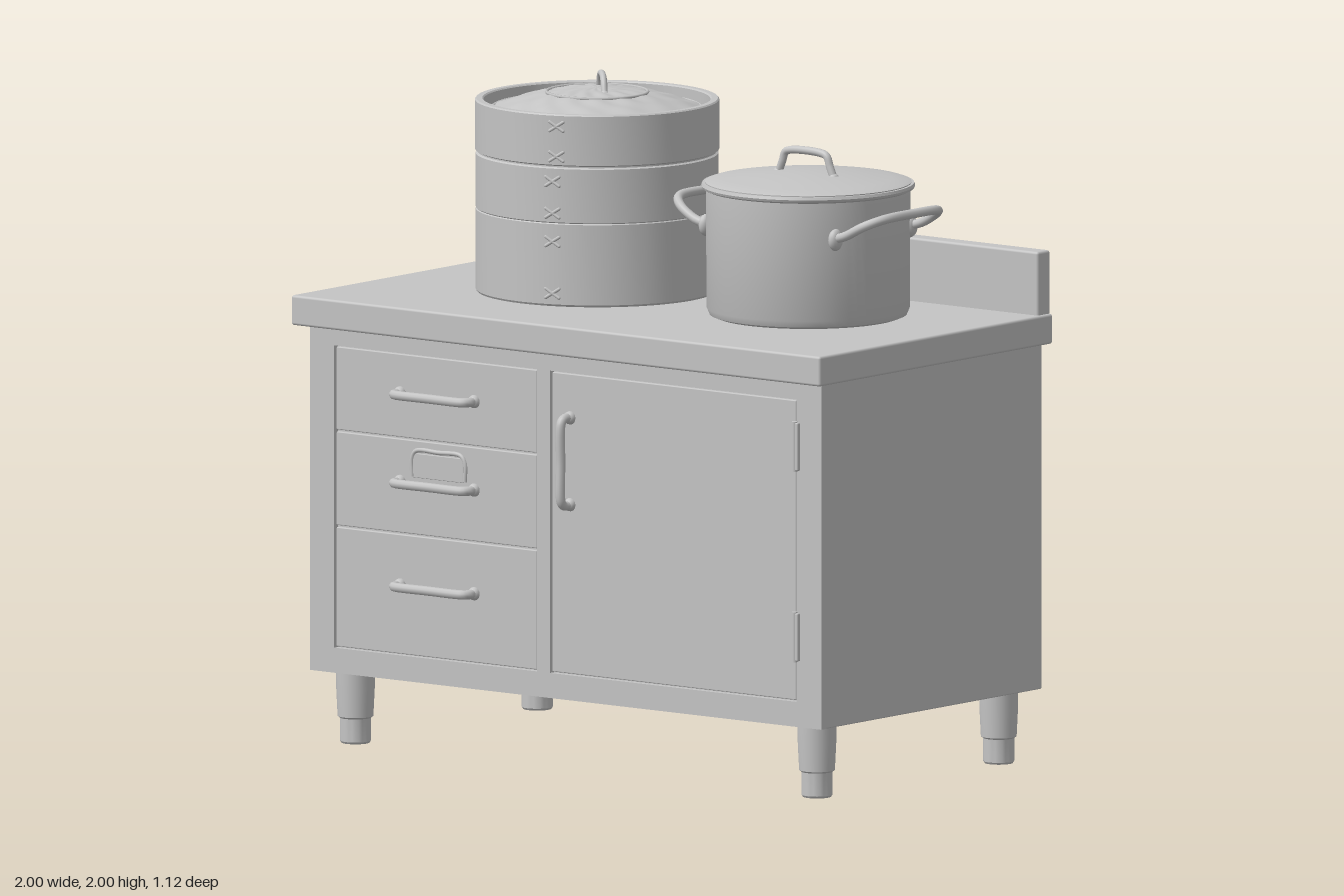
import * as THREE from 'three';
import { toCreasedNormals } from 'three/addons/utils/BufferGeometryUtils.js';
import { RoundedBoxGeometry } from 'three/addons/geometries/RoundedBoxGeometry.js';

const steel = new THREE.MeshStandardMaterial({ color: 0xc4c4c4 });
steel.name = 'steelGrey';

const V = (x, y, z) => new THREE.Vector3(x, y, z);

function add(parent, name, geometry, x = 0, y = 0, z = 0) {
  const mesh = new THREE.Mesh(geometry, steel);
  mesh.name = name;
  mesh.position.set(x, y, z);
  parent.add(mesh);
  return mesh;
}

function group(parent, name, x = 0, y = 0, z = 0) {
  const g = new THREE.Group();
  g.name = name;
  g.position.set(x, y, z);
  parent.add(g);
  return g;
}

// Box given by its extents on each axis
function block(parent, name, [x0, x1], [y0, y1], [z0, z1], r = 0.004) {
  const geo = new RoundedBoxGeometry(x1 - x0, y1 - y0, z1 - z0, 2, r);
  return add(parent, name, geo, (x0 + x1) / 2, (y0 + y1) / 2, (z0 + z1) / 2);
}

// Turned part from a list of [radius, height], listed from the outside bottom upwards
function turned(parent, name, profile, segments = 64) {
  const geo = new THREE.LatheGeometry(profile.map(([r, y]) => new THREE.Vector2(r, y)), segments);
  return add(parent, name, toCreasedNormals(geo, 0.5), 0, 0, 0);
}

// Bent rod through points, with a small boss at each end
function rod(parent, name, points, radius, boss = 0) {
  const path = new THREE.CatmullRomCurve3(points, false, 'centripetal');
  add(parent, name, new THREE.TubeGeometry(path, 48, radius, 10));
  if (boss) {
    for (const p of [points[0], points[points.length - 1]]) {
      add(parent, name + 'Boss', new THREE.SphereGeometry(boss, 14, 10), p.x, p.y, p.z);
    }
  }
}

// Straight pull handle standing off the front, along x
function pull(parent, name, x, y, length, vertical) {
  const g = group(parent, name, x, y, 0.5);
  const h = length / 2;
  rod(g, 'grip', [V(-h, 0, 0), V(-h, 0, 0.03), V(-h + 0.012, 0, 0.043),
    V(0, 0, 0.045), V(h - 0.012, 0, 0.043), V(h, 0, 0.03), V(h, 0, 0)], 0.014, 0.02);
  if (vertical) g.rotation.z = Math.PI / 2;
}

function rectPath(Type, x0, x1, y0, y1) {
  const p = new Type();
  p.moveTo(x0, y0);
  p.lineTo(x1, y0);
  p.lineTo(x1, y1);
  p.lineTo(x0, y1);
  p.closePath();
  return p;
}

function buildCabinet(root) {
  const cabinet = group(root, 'cabinet');
  block(cabinet, 'carcass', [-0.968, 0.966], [0.22, 1.26], [-0.545, 0.486]);
  block(cabinet, 'countertop', [-1, 1], [1.255, 1.345], [-0.555, 0.555], 0.008);
  block(cabinet, 'backsplash', [-0.99, 0.99], [1.3, 1.535], [-0.555, -0.495], 0.008);

  // Front frame with openings for the drawers and the door
  const frame = rectPath(THREE.Shape, -0.968, 0.966, 0.22, 1.26);
  frame.holes.push(rectPath(THREE.Path, -0.876, -0.11, 0.295, 1.2));
  frame.holes.push(rectPath(THREE.Path, -0.06, 0.872, 0.295, 1.2));
  add(cabinet, 'frontFrame', new THREE.ExtrudeGeometry(frame, { depth: 0.023, bevelEnabled: false }), 0, 0, 0.482);

  // Drawers, top to bottom: bottom edge, top edge, handle height
  const drawers = [[0.948, 1.196, 1.08], [0.662, 0.942, 0.815], [0.299, 0.656, 0.505]];
  for (const [y0, y1, handle] of drawers) {
    block(cabinet, 'drawerFront', [-0.872, -0.114], [y0, y1], [0.47, 0.5], 0.003);
    pull(cabinet, 'drawerHandle', -0.49, handle, 0.28, false);
  }

  // Label holder on the middle drawer
  const w = 0.1, h = 0.042;
  rod(cabinet, 'labelHolderRim', [V(-0.485 - w, 0.835, 0.5), V(-0.485 - w, 0.89, 0.5), V(-0.485 - w + 0.015, 0.87 + h, 0.5),
    V(-0.485, 0.872 + h, 0.5), V(-0.485 + w - 0.015, 0.87 + h, 0.5), V(-0.485 + w, 0.89, 0.5), V(-0.485 + w, 0.835, 0.5)], 0.007);
  block(cabinet, 'labelPlate', [-0.58, -0.39], [0.832, 0.905], [0.496, 0.503], 0.002);

  block(cabinet, 'door', [-0.056, 0.866], [0.299, 1.196], [0.47, 0.5], 0.003);
  pull(cabinet, 'doorHandle', 0.012, 0.935, 0.26, true);
  for (const y of [0.49, 1.06]) {
    block(cabinet, 'hingePlate', [0.862, 0.886], [y - 0.072, y + 0.072], [0.49, 0.518], 0.004);
    add(cabinet, 'hingePin', new THREE.CylinderGeometry(0.009, 0.009, 0.15, 12), 0.87, y, 0.512);
  }

  // Legs: a sleeve with a narrower adjustable foot
  for (const x of [-0.875, 0.87]) {
    for (const z of [0.405, -0.46]) {
      const leg = group(cabinet, 'leg', x, 0, z);
      turned(leg, 'legTube', [[0, 0], [0.042, 0], [0.046, 0.006], [0.046, 0.075],
        [0.053, 0.08], [0.057, 0.16], [0.058, 0.225]], 28);
    }
  }
}

function buildSteamer(root) {
  const steamer = group(root, 'steamer', -0.353, 0, -0.088);
  // Stacked bands with a fine groove between them
  turned(steamer, 'lowerBasket', [[0, 1.346], [0.356, 1.346], [0.36, 1.352], [0.36, 1.592], [0.357, 1.595], [0.357, 1.6]]);
  turned(steamer, 'middleBasket', [[0.357, 1.595], [0.36, 1.598], [0.36, 1.758], [0.354, 1.762], [0.354, 1.77]]);
  turned(steamer, 'lidBand', [[0.354, 1.766], [0.362, 1.77], [0.362, 1.917], [0.358, 1.921], [0.34, 1.921], [0.336, 1.917], [0.336, 1.87]]);

  // Woven dome, gently rippled
  const dome = new THREE.LatheGeometry(
    Array.from({ length: 25 }, (_, i) => {
      const r = 0.338 * (1 - i / 24);
      return new THREE.Vector2(r, 1.952 - 0.072 * (r / 0.338) ** 2);
    }), 72);
  const pos = dome.attributes.position;
  for (let i = 0; i < pos.count; i++) {
    const x = pos.getX(i), z = pos.getZ(i), r = Math.hypot(x, z), a = Math.atan2(z, x);
    pos.setY(i, pos.getY(i) + 0.003 * Math.sin(a * 12 + r * 20) * Math.sin(r * 45) * Math.min(1, r * 8));
  }
  dome.computeVertexNormals();
  add(steamer, 'lidDome', dome);
  for (const [r, y] of [[0.15, 1.939], [0.31, 1.891]]) {
    const ring = add(steamer, 'lidRing', new THREE.TorusGeometry(r, 0.005, 6, 64), 0, y, 0);
    ring.rotation.x = Math.PI / 2;
  }
  const loop = group(steamer, 'lidLoop', 0.01, 1.94, -0.01);
  loop.rotation.y = -Math.PI / 4;
  rod(loop, 'loop', [V(-0.07, 0, 0), V(-0.05, 0.035, 0), V(-0.03, 0.05, 0), V(0.03, 0.05, 0), V(0.05, 0.035, 0), V(0.07, 0, 0)], 0.01, 0.013);

  // Crossed lacing down the front seam
  const stitches = [[0.117, 1.885], [0.117, 1.795], [0.105, 1.72], [0.105, 1.625], [0.105, 1.54], [0.105, 1.385]];
  for (const [x, y] of stitches) {
    const stitch = group(steamer, 'stitch', x, y, Math.sqrt(0.361 ** 2 - x * x));
    stitch.rotation.y = Math.asin(x / 0.361);
    for (const s of [-1, 1]) {
      const lace = add(stitch, 'lace', new THREE.CapsuleGeometry(0.005, 0.05, 3, 8));
      lace.rotation.z = s * 1.0;
    }
  }
}

function buildPot(root) {
  const pot = group(root, 'stockPot', 0.457, 0, -0.073);
  turned(pot, 'potBody', [[0, 1.346], [0.275, 1.346], [0.293, 1.353], [0.301, 1.372], [0.303, 1.725],
    [0.314, 1.73], [0.317, 1.737], [0.314, 1.745], [0.3, 1.745], [0.296, 1.735]]);
  turned(pot, 'potLid', [[0.305, 1.738], [0.306, 1.748], [0.294, 1.752], [0.25, 1.758], [0.2, 1.765],
    [0.14, 1.772], [0.07, 1.777], [0, 1.779]]);
  rod(pot, 'lidHandle', [V(-0.105, 1.765, 0.01), V(-0.09, 1.8, 0.01), V(-0.078, 1.83, 0.01), V(-0.055, 1.838, 0.01),
    V(0.055, 1.838, 0.01), V(0.078, 1.83, 0.01), V(0.09, 1.8, 0.01), V(0.105, 1.765, 0.01)], 0.012, 0.017);

  // Looped side handles, rising outwards
  for (const s of [-1, 1]) {
    const side = group(pot, s > 0 ? 'leftHandle' : 'rightHandle');
    side.rotation.y = s > 0 ? 0 : Math.PI;
    rod(side, 'grip', [V(0.245, 1.618, 0.18), V(0.285, 1.63, 0.182), V(0.345, 1.662, 0.172), V(0.385, 1.682, 0.13),
      V(0.392, 1.686, 0), V(0.385, 1.682, -0.13), V(0.345, 1.662, -0.172), V(0.285, 1.63, -0.182), V(0.245, 1.618, -0.18)], 0.014);
    for (const z of [-0.178, 0.178]) {
      const plate = add(side, 'handleMount', new THREE.SphereGeometry(0.03, 16, 12), 0.245, 1.615, z);
      plate.scale.set(0.6, 1.1, 0.9);
    }
  }
}

export function createModel() {
  const root = new THREE.Group();
  root.name = 'kitchenCounter';
  buildCabinet(root);
  buildSteamer(root);
  buildPot(root);
  return root;
}
